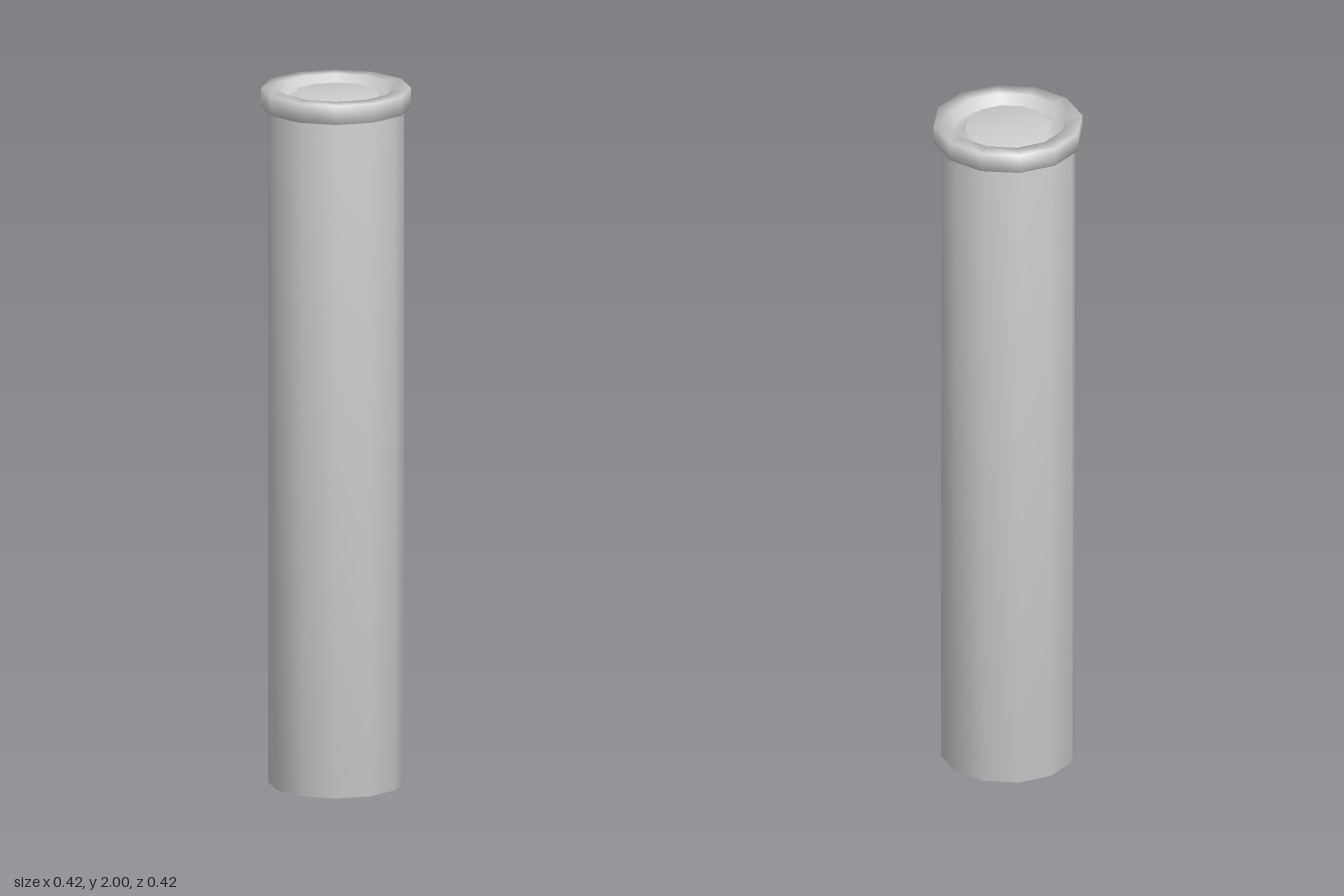
import * as THREE from 'three';

const SIDES = 12;

// Revolves a profile of [radius, height] pairs, listed from bottom to top
function turned(name, profile) {
  const points = profile.map(([r, y]) => new THREE.Vector2(r, y));
  const mesh = new THREE.Mesh(
    new THREE.LatheGeometry(points, SIDES),
    new THREE.MeshStandardMaterial({ color: 0xcccccc, side: THREE.DoubleSide })
  );
  mesh.name = name;
  return mesh;
}

export function createModel() {
  const model = new THREE.Group();
  model.name = 'cappedTube';

  // Long closed cylinder with softly shaded ends
  model.add(turned('body', [[0, 0], [0.19, 0], [0.19, 1.95], [0, 1.95]]));

  // Raised rim, groove and centre plug, continuous across the top
  model.add(turned('rimAndPlug', [
    [0.18, 1.945], [0.21, 1.945], [0.21, 2], [0.163, 2],
    [0.163, 1.96], [0.12, 1.96], [0.12, 1.985], [0, 1.985],
  ]));

  return model;
}
